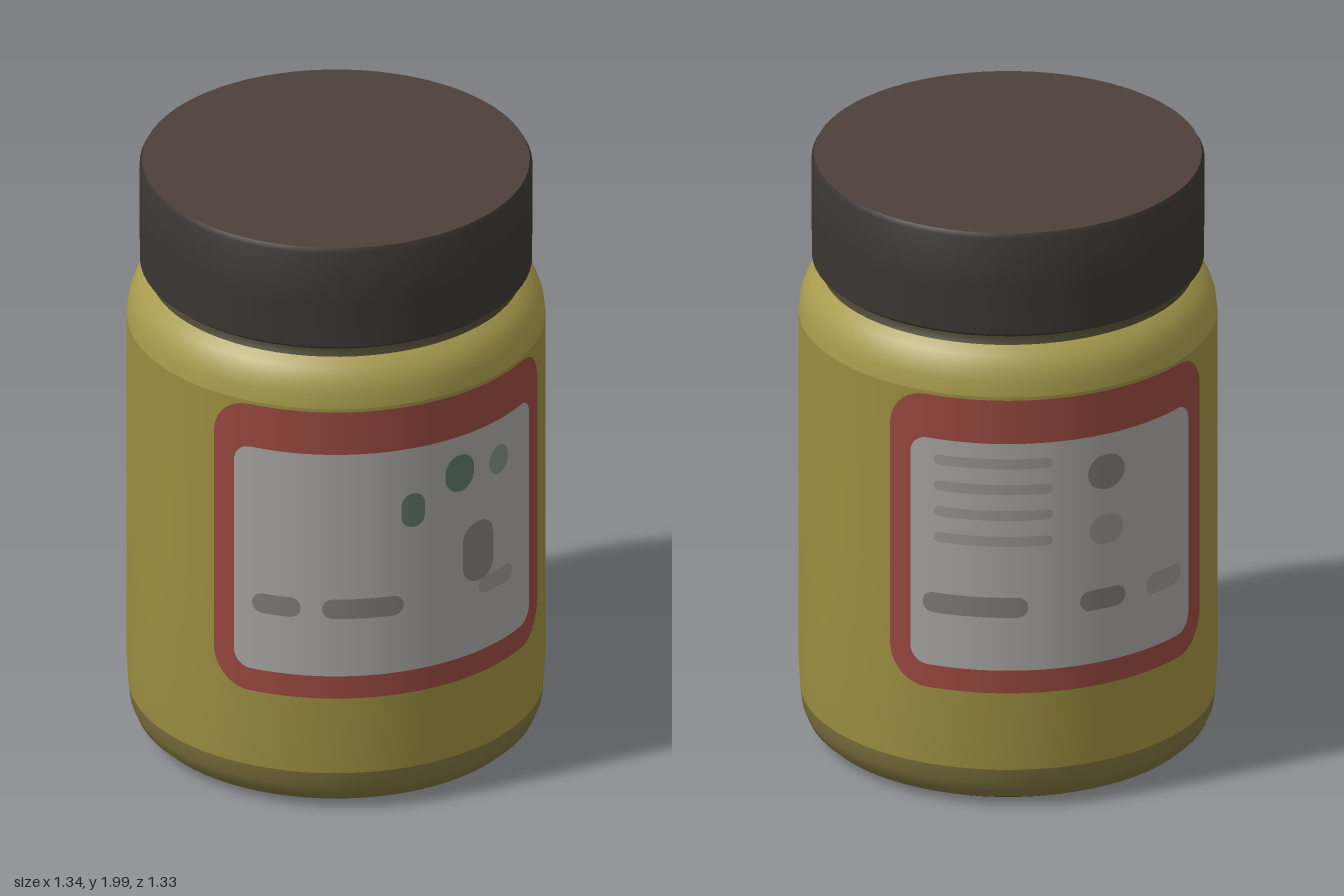
import * as THREE from 'three';
import { toCreasedNormals } from 'three/addons/utils/BufferGeometryUtils.js';

const R = 0.663; // jar radius
const DEG = Math.PI / 180;

function part(name, geometry, color) {
  const mesh = new THREE.Mesh(geometry, new THREE.MeshStandardMaterial({ color }));
  mesh.name = name;
  return mesh;
}

function turned(name, profile, color) {
  const points = profile.map(([r, y]) => new THREE.Vector2(r, y));
  return part(name, toCreasedNormals(new THREE.LatheGeometry(points, 72), 0.7), color);
}

// Rounded rectangle wrapped around the jar; angles in degrees from +z towards +x
function wrapped(name, a0, a1, y0, y1, corner, lift, color) {
  const radius = R + lift;
  const width = (a1 - a0) * DEG * radius;
  const r = Math.min(corner, width / 2, (y1 - y0) / 2);
  const n = Math.max(16, Math.ceil(a1 - a0));
  const positions = [], normals = [], indices = [];
  for (let i = 0; i <= n; i++) {
    const t = (1 - Math.cos((Math.PI * i) / n)) / 2; // finer columns near the ends
    const edge = Math.min(t, 1 - t) * width;
    const inset = edge < r ? r - Math.sqrt(Math.max(0, r * r - (r - edge) ** 2)) : 0;
    const a = (a0 + (a1 - a0) * t) * DEG;
    for (const y of [y0 + inset, y1 - inset]) {
      positions.push(radius * Math.sin(a), y, radius * Math.cos(a));
      normals.push(Math.sin(a), 0, Math.cos(a));
    }
    if (i < n) {
      const k = i * 2;
      indices.push(k, k + 2, k + 3, k, k + 3, k + 1);
    }
  }
  const geometry = new THREE.BufferGeometry();
  geometry.setAttribute('position', new THREE.Float32BufferAttribute(positions, 3));
  geometry.setAttribute('normal', new THREE.Float32BufferAttribute(normals, 3));
  geometry.setIndex(indices);
  return part(name, geometry, color);
}

// Red-bordered label with soft printed patches: [centre angle, y, width, height, colour]
function label(name, a0, a1, marks) {
  const group = new THREE.Group();
  group.name = name;
  group.add(
    wrapped('labelBorder', a0, a1, 0.42, 1.44, 0.13, 0.002, 0x96483f),
    wrapped('labelPanel', a0 + 6.5, a1 - 7, 0.5, 1.29, 0.06, 0.004, 0xa5a3a1)
  );
  for (const [a, y, w, h, color] of marks) {
    const half = w / R / DEG / 2;
    group.add(wrapped('labelPatch', a - half, a + half, y - h / 2, y + h / 2, 0.06, 0.006, color));
  }
  return group;
}

export function createModel() {
  const model = new THREE.Group();
  const grey = 0x7d7b77, pale = 0x94928f, green = 0x5f7468;

  // Jar: dark underside, straight wall, rounded shoulder and neck
  model.add(
    turned('jarBase', [[0, 0.01], [0.5, 0.01], [0.57, 0.015], [0.605, 0.032]], 0x40382c),
    turned('jarFoot', [[0.605, 0.032], [0.635, 0.06], [0.652, 0.1], [0.658, 0.15]], 0x7a6f3c),
    turned('jarBody', [[0.658, 0.15], [R, 0.25], [R, 0.8], [R, 1.45]], 0x9a8d40),
    turned('jarShoulder', [[R, 1.45], [0.658, 1.5], [0.645, 1.54], [0.622, 1.575], [0.59, 1.6]], 0xa69a4c),
    turned('jarNeck', [[0.59, 1.6], [0.582, 1.62], [0.582, 1.66]], 0x4a4530)
  );

  // Screw lid: skirt with a small bevelled lip, and a flat top
  model.add(
    turned('lidSkirt', [[0.57, 1.645], [0.605, 1.637], [0.621, 1.65], [0.622, 1.8], [0.622, 1.985], [0.614, 2]], 0x3b3531),
    turned('lidTop', [[0.614, 2], [0, 2]], 0x4e403a)
  );

  // Two labels on opposite sides
  model.add(
    label('frontLabel', 3, 112, [
      [60, 1.07, 0.08, 0.12, green], [74.5, 1.16, 0.11, 0.13, green], [89, 1.15, 0.09, 0.1, 0x7d8a82],
      [22, 0.74, 0.16, 0.07, grey], [46, 0.74, 0.26, 0.07, grey], [88, 0.73, 0.16, 0.06, pale],
      [81, 0.86, 0.13, 0.21, grey]
    ]),
    label('backLabel', 184, 284, [
      ...[1.22, 1.13, 1.04, 0.95].map((y) => [214, y, 0.38, 0.035, pale]),
      [246, 1.16, 0.13, 0.12, grey], [246, 0.96, 0.12, 0.1, pale],
      [209, 0.72, 0.34, 0.07, grey], [245, 0.72, 0.16, 0.07, grey], [266, 0.72, 0.16, 0.07, pale]
    ])
  );
  return model;
}
